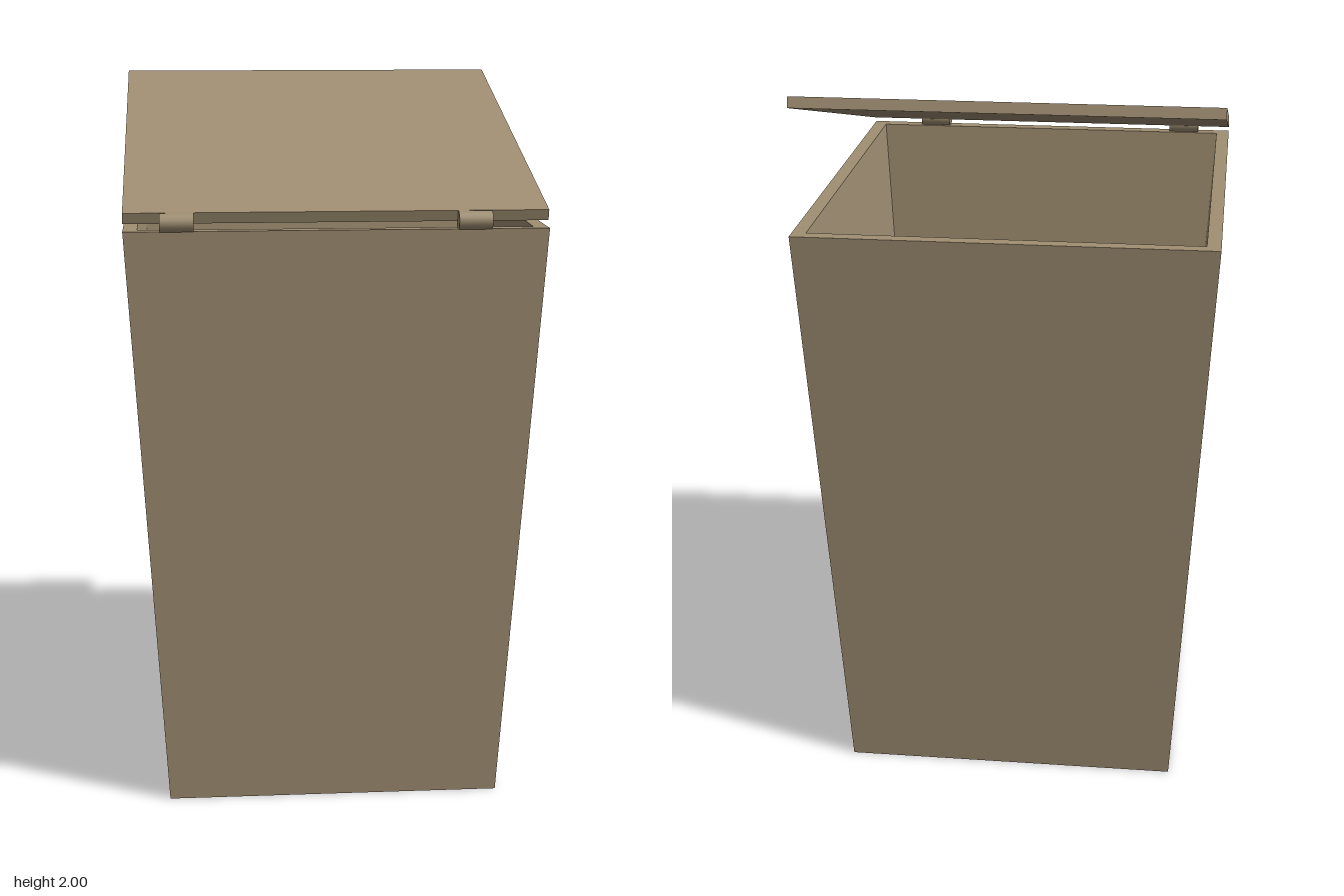
import * as THREE from 'three';

const tan = new THREE.MeshStandardMaterial({ color: 0xa08f72 });
tan.name = 'tan';

function mesh(name, geometry) {
  const m = new THREE.Mesh(geometry, tan);
  m.name = name;
  return m;
}

// Rectangular ring of four corners, counter-clockwise seen from above
function ring(halfX, halfZ, y) {
  return [[-1, 1], [1, 1], [1, -1], [-1, -1]].map(([sx, sz]) => [sx * halfX, y, sz * halfZ]);
}

// Open tapered box: skin through the rings, closed by a cap at each end
function tub(rings) {
  const pos = [];
  const quad = (a, b, c, d) => pos.push(...a, ...b, ...c, ...a, ...c, ...d);
  for (let r = 0; r < rings.length - 1; r++) {
    const lo = rings[r], hi = rings[r + 1];
    for (let i = 0; i < 4; i++) {
      const j = (i + 1) % 4;
      quad(lo[i], lo[j], hi[j], hi[i]);
    }
  }
  quad(...[...rings[0]].reverse());
  quad(...rings[rings.length - 1]);
  const g = new THREE.BufferGeometry();
  g.setAttribute('position', new THREE.Float32BufferAttribute(pos, 3));
  g.computeVertexNormals();
  return g;
}

export function createModel() {
  const model = new THREE.Group();
  model.name = 'lidded bin';

  // Tapered body: outside, rim, inside, floor
  const wall = 0.038;
  const body = mesh('body', tub([
    ring(0.468, 0.517, 0),
    ring(0.565, 0.622, 1.64),
    ring(0.565 - wall, 0.622 - wall, 1.64),
    ring(0.47 - wall, 0.519 - wall, 0.04),
  ]));
  body.position.z = -0.008;
  model.add(body);

  // Lid, hinged along the front edge and raised at the back
  const length = 1.212, thick = 0.03;
  const lid = new THREE.Group();
  lid.name = 'lid';
  const panel = mesh('lidPanel', new THREE.BoxGeometry(1.13, thick, length));
  panel.position.set(0, -thick / 2, -length / 2);
  lid.add(panel);
  lid.position.set(0, 1.687, 0.597);
  lid.rotation.x = THREE.MathUtils.degToRad(15);
  model.add(lid);

  // Hinge barrels
  for (const x of [-0.424, 0.366]) {
    const hinge = mesh('hinge', new THREE.CylinderGeometry(0.026, 0.026, 0.09, 16));
    hinge.rotation.z = Math.PI / 2;
    hinge.position.set(x, 1.661, 0.602);
    model.add(hinge);
  }
  return model;
}
